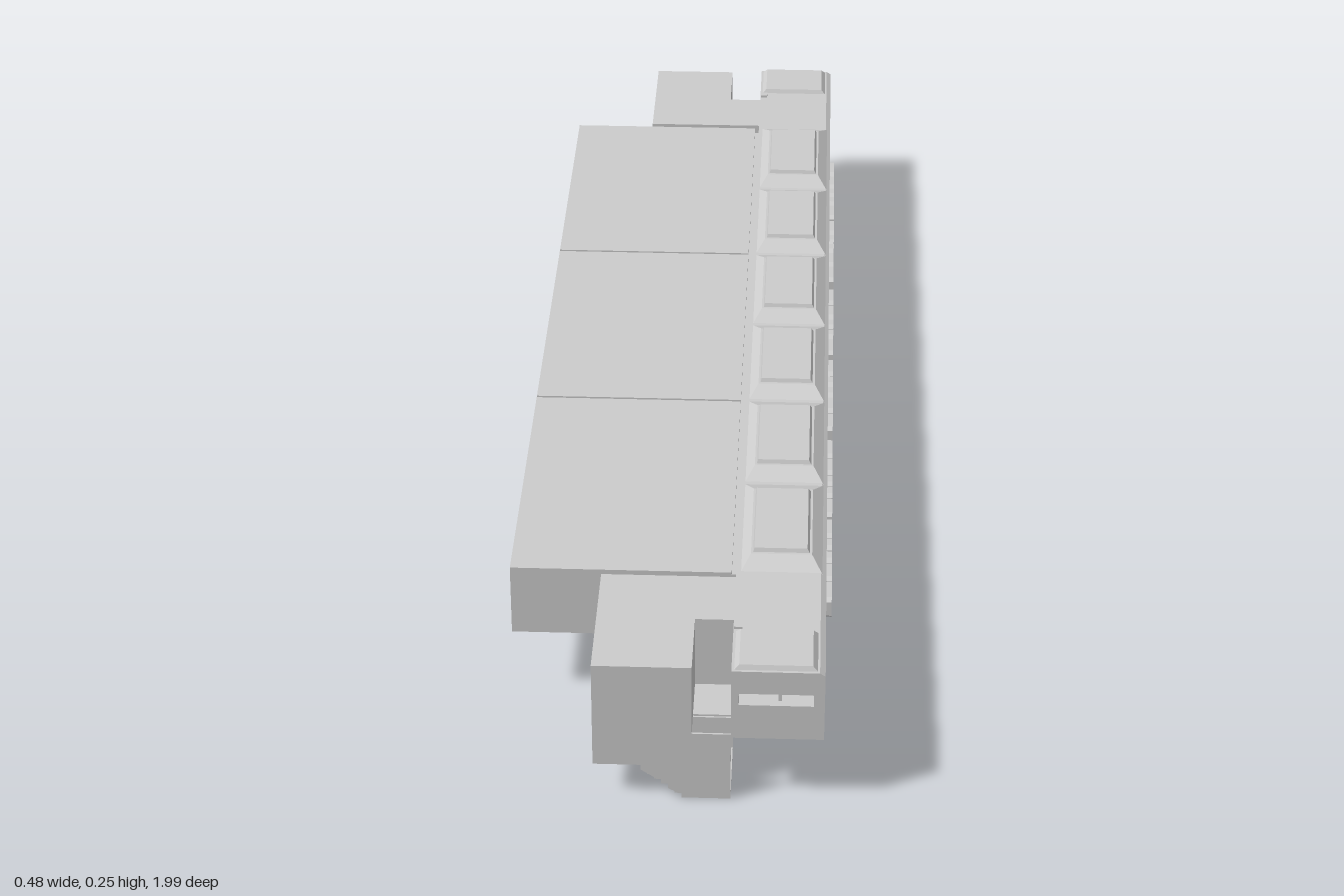
import * as THREE from 'three';

const mat = new THREE.MeshStandardMaterial({ color: 0xcccccc, flatShading: true, side: THREE.DoubleSide });

function add(parent, name, geo) {
  const mesh = new THREE.Mesh(geo, mat);
  mesh.name = name;
  parent.add(mesh);
  return mesh;
}

// Box between two corners
function box(parent, name, x0, x1, y0, y1, z0, z1) {
  const g = new THREE.BoxGeometry(x1 - x0, y1 - y0, Math.abs(z1 - z0));
  g.translate((x0 + x1) / 2, (y0 + y1) / 2, (z0 + z1) / 2);
  return add(parent, name, g);
}

// Outline in x and y, extruded between two z values
function prism(parent, name, pts, z0, z1, hole) {
  const shape = new THREE.Shape(pts.map(p => new THREE.Vector2(...p)));
  if (hole) shape.holes.push(new THREE.Path(hole.map(p => new THREE.Vector2(...p))));
  const g = new THREE.ExtrudeGeometry(shape, { depth: Math.abs(z1 - z0), bevelEnabled: false });
  g.translate(0, 0, Math.min(z0, z1));
  return add(parent, name, g);
}

// Box whose top is pulled in to a smaller rectangle
function taperedBox(parent, name, b, t, y0, y1, zc, zb, zt) {
  const g = new THREE.BoxGeometry(1, 1, 1);
  const p = g.attributes.position;
  for (let i = 0; i < p.count; i++) {
    const top = p.getY(i) > 0, r = top ? t : b;
    p.setXYZ(i, p.getX(i) > 0 ? r[1] : r[0], top ? y1 : y0, zc + Math.sign(p.getZ(i)) * (top ? zt : zb));
  }
  g.computeVertexNormals();
  return add(parent, name, g);
}

// Rectangle with cut corners
function cutRect(w, h, c) {
  const a = w / 2, b = h / 2;
  return [[-a + c, -b], [a - c, -b], [a, -b + c], [a, b - c], [a - c, b], [-a + c, b], [-a, b - c], [-a, -b + c]]
    .map(p => new THREE.Vector2(...p));
}

// Framed window standing out from the long side
function sideWindow(parent, z, w) {
  const shape = new THREE.Shape(cutRect(w, 0.036, 0.006));
  shape.holes.push(new THREE.Path(cutRect(w - 0.009, 0.027, 0.004)));
  const frame = new THREE.ExtrudeGeometry(shape, { depth: 0.01, bevelEnabled: false });
  frame.rotateY(Math.PI / 2);
  frame.translate(0.231, 0.159, z);
  add(parent, 'windowFrame', frame);
  box(parent, 'windowPane', 0.231, 0.234, 0.145, 0.173, z - w / 2 + 0.004, z + w / 2 - 0.004);
}

// Stairwell block at one end; s is the side along z
function endBlock(parent, s) {
  const g = new THREE.Group();
  g.name = 'stairBlock';
  parent.add(g);
  const zi = 0.757 * s, zm = 0.868 * s, zo = 0.99 * s, t = 0.003 * s;
  box(g, 'landingRoof', -0.105, 0.097, 0.117, 0.234, zi, zm);
  box(g, 'stairRoof', -0.105, 0.04, 0.117, 0.234, zm, zo);
  // Stepped underside from the landing down to the foot
  const steps = [], n = 7;
  for (let i = 0; i <= n; i++) {
    const x = -0.045 + 0.01 * i, y = 0.058 * (1 - i / n);
    steps.push([x, y]);
    if (i < n) steps.push([x + 0.01, y]);
  }
  const under = [...steps, [0.097, 0]];
  const over = under.map(([x, y]) => [x, y + 0.003]).reverse();
  prism(g, 'stairs', [...under, ...over], zm, zo);
  const side = [[-0.045, 0.058], ...steps.slice(1), [0.097, 0]];
  prism(g, 'outerWall', [[-0.105, 0.117], [-0.105, 0.058], ...side, [0.097, 0.117]], zo, zo - t);
  prism(g, 'stairInnerWall', [...side, [0.097, 0.058]], zm, zm + t);
  box(g, 'stairBackWall', -0.105, -0.045, 0.058, 0.118, zm, zo);
  // Landing shell
  box(g, 'landingFloor', -0.105, 0.097, 0.058, 0.061, zi, zm);
  box(g, 'landingBackWall', -0.105, -0.102, 0.058, 0.118, zi, zm);
  box(g, 'landingEndWall', -0.105, 0.097, 0.058, 0.118, zi, zi + t);
}

export function createModel() {
  const model = new THREE.Group();
  model.name = 'model';

  // Long gallery with a slot window in each end
  const section = [[0.097, 0.117], [0.232, 0.117], [0.232, 0.23], [0.224, 0.235], [0.097, 0.235]];
  const slot = [[0.108, 0.176], [0.108, 0.199], [0.21, 0.199], [0.216, 0.195], [0.216, 0.176]];
  prism(model, 'gallery', section, -0.97, 0.97);
  for (const s of [-1, 1]) {
    prism(model, 'galleryEnd', section, 0.97 * s, 0.997 * s, slot);
    box(model, 'slotDivider', 0.165, 0.17, 0.176, 0.199, 0.97 * s, 0.985 * s);
    taperedBox(model, 'endRoofPanel', [0.1, 0.222], [0.108, 0.214], 0.234, 0.242, 0.945 * s, 0.048, 0.044);
    box(model, 'roofLatch', 0.098, 0.11, 0.234, 0.239, 0.878 * s, 0.892 * s);
    endBlock(model, s);
  }

  // Raised roof panels
  for (let i = 0; i < 6; i++) {
    const z = -0.622 + i * 0.2488;
    taperedBox(model, 'roofHump', [0.103, 0.226], [0.118, 0.21], 0.234, 0.247, z, 0.123, 0.09);
    taperedBox(model, 'roofPanel', [0.121, 0.207], [0.123, 0.203], 0.246, 0.253, z, 0.086, 0.083);
  }

  // Six groups of side windows, alternately mirrored
  const widths = [0.052, 0.045, 0.029, 0.029, 0.05];
  [0.615, 0.38, 0.123, -0.123, -0.38, -0.615].forEach((zc, i) => {
    const dir = i % 2 ? 1 : -1;
    let along = -0.1125;
    for (const w of widths) {
      sideWindow(model, zc + dir * (along + w / 2), w);
      along += w + 0.005;
    }
  });

  // Three wide deck slabs and the strip joining them to the gallery
  for (let i = -1; i <= 1; i++) {
    box(model, 'deckSlab', -0.243, 0.09, 0.117, 0.234, i * 0.4985 - 0.247, i * 0.4985 + 0.247);
  }
  box(model, 'joiningStrip', 0.085, 0.1, 0.124, 0.227, -0.74, 0.74);
  return model;
}
